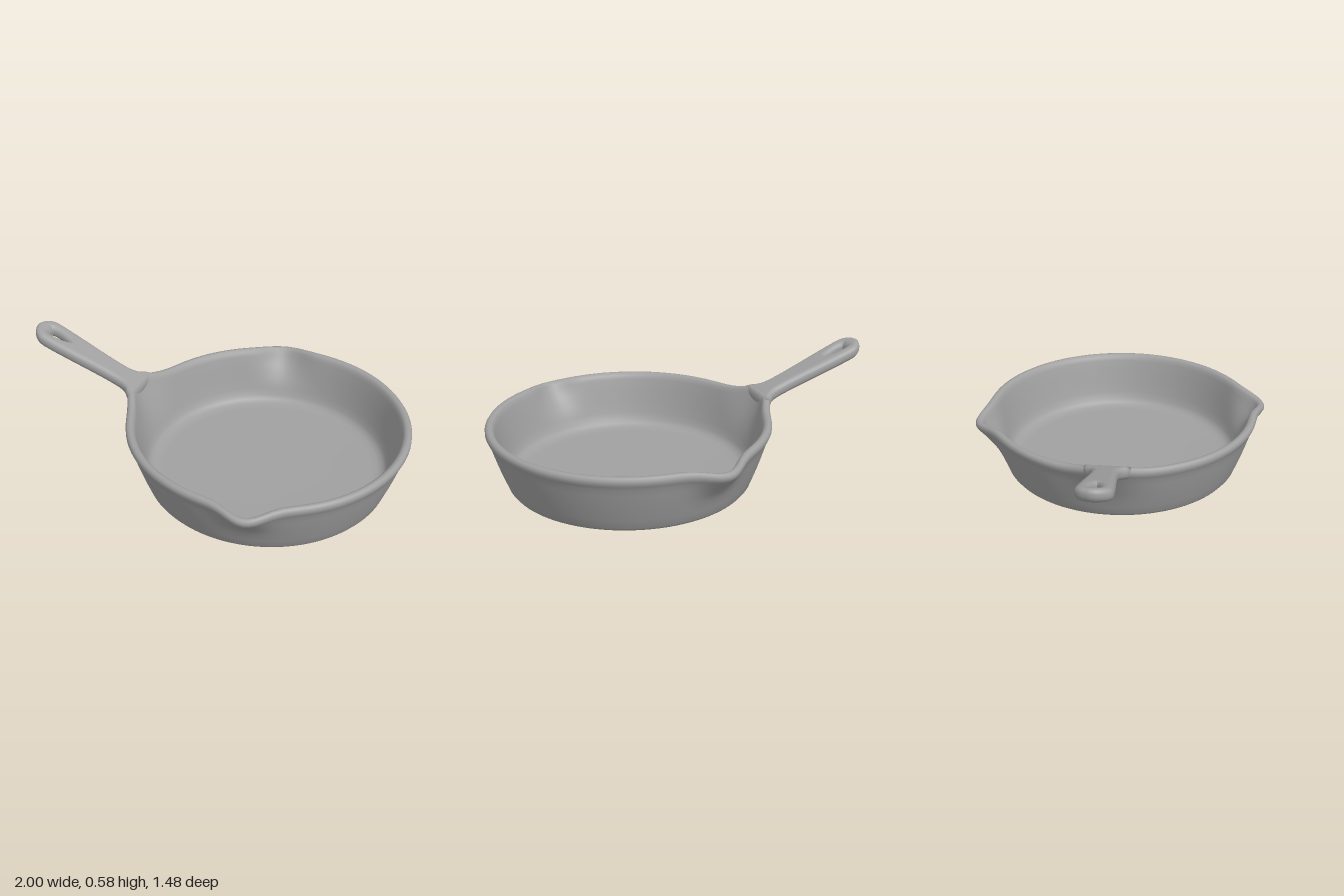
import * as THREE from 'three';
import { mergeVertices } from 'three/addons/utils/BufferGeometryUtils.js';

const V = (x, y) => new THREE.Vector2(x, y);
const PAN_X = 0.3;

// Weld a geometry and give it smooth normals
function smooth(geometry) {
  geometry.deleteAttribute('uv');
  geometry.deleteAttribute('normal');
  const welded = mergeVertices(geometry, 1e-4);
  welded.computeVertexNormals();
  return welded;
}

// Bell-shaped bump around an angle, all in degrees
function bump(angle, centre, width) {
  const d = ((angle - centre + 540) % 360) - 180;
  return Math.exp(-(d * d) / (2 * width * width));
}

// Bowl: a closed lathe profile, pulled out at two pouring spouts and at the handle root
function panGeometry() {
  const profile = [
    V(0, 0.003), V(0.25, 0.008), V(0.45, 0.02), V(0.57, 0.032), V(0.592, 0.04), V(0.605, 0.056),
    V(0.622, 0.1), V(0.641, 0.15), V(0.658, 0.2), V(0.674, 0.25), V(0.684, 0.285), V(0.694, 0.302),
    V(0.701, 0.318), V(0.701, 0.333), V(0.694, 0.344), V(0.682, 0.348), V(0.669, 0.345),
    V(0.659, 0.335), V(0.652, 0.315), V(0.638, 0.26), V(0.624, 0.2), V(0.609, 0.14),
    V(0.597, 0.105), V(0.583, 0.085), V(0.56, 0.073), V(0.52, 0.068), V(0.3, 0.066), V(0, 0.066),
  ];
  const geometry = new THREE.LatheGeometry(profile, 180);
  const p = geometry.attributes.position;
  for (let i = 0; i < p.count; i++) {
    const x = p.getX(i), y = p.getY(i), z = p.getZ(i);
    const r = Math.hypot(x, z);
    if (r < 0.55) continue;
    const a = THREE.MathUtils.radToDeg(Math.atan2(z, x));
    const spout = bump(a, 76, 6.5) + bump(a, -105, 7);
    const root = bump(a, 180, 8);
    const w = THREE.MathUtils.smoothstep(y, 0.15, 0.33);
    const k = (r + w * (0.062 * spout + 0.06 * root)) / r;
    p.setXYZ(i, x * k, y + w * (0.045 * root - 0.025 * spout), z * k);
  }
  return smooth(geometry);
}

// Handle: a rounded slab with a hanging hole, sheared upward along its length
function handleGeometry() {
  const b = 0.03;
  const half = [
    V(-0.41, 0.12), V(-0.44, 0.088), V(-0.48, 0.07), V(-0.54, 0.065), V(-0.65, 0.07),
    V(-0.78, 0.08), V(-0.9, 0.087), V(-0.95, 0.082), V(-0.985, 0.06), V(-0.999, 0.025),
  ];
  const outline = [...half, ...half.slice().reverse().map((q) => V(q.x, -q.y))];
  const shape = new THREE.Shape(
    new THREE.SplineCurve(outline).getPoints(80).map((q) => V(q.x + (q.x < -0.93 ? b * (-q.x - 0.93) / 0.07 : 0),
      q.y - Math.sign(q.y) * Math.min(b, Math.abs(q.y) * 0.6))));
  const hole = [
    V(-0.955, 0), V(-0.95, 0.035), V(-0.92, 0.05), V(-0.87, 0.048), V(-0.81, 0.03),
    V(-0.785, 0), V(-0.81, -0.03), V(-0.87, -0.048), V(-0.92, -0.05), V(-0.95, -0.035),
  ];
  shape.holes.push(new THREE.Path(new THREE.SplineCurve([...hole, hole[0]]).getPoints(48).slice(0, -1)));
  const geometry = new THREE.ExtrudeGeometry(shape, {
    depth: 0.008, bevelEnabled: true, bevelThickness: b, bevelSize: b * 0.95, bevelSegments: 6,
  });
  geometry.translate(0, 0, -0.004);
  geometry.rotateX(-Math.PI / 2);
  const p = geometry.attributes.position;
  for (let i = 0; i < p.count; i++) {
    p.setY(i, p.getY(i) + 0.38 - 0.36 * (p.getX(i) + 0.5));
  }
  return smooth(geometry);
}

export function createModel() {
  const group = new THREE.Group();
  group.name = 'skillet';
  const castIron = new THREE.MeshStandardMaterial({ color: 0xa0a0a0 });
  castIron.name = 'grey cast iron';

  const pan = new THREE.Mesh(panGeometry(), castIron);
  pan.name = 'pan';
  pan.position.x = PAN_X;

  const handle = new THREE.Mesh(handleGeometry(), castIron);
  handle.name = 'handle';

  group.add(pan, handle);
  return group;
}
